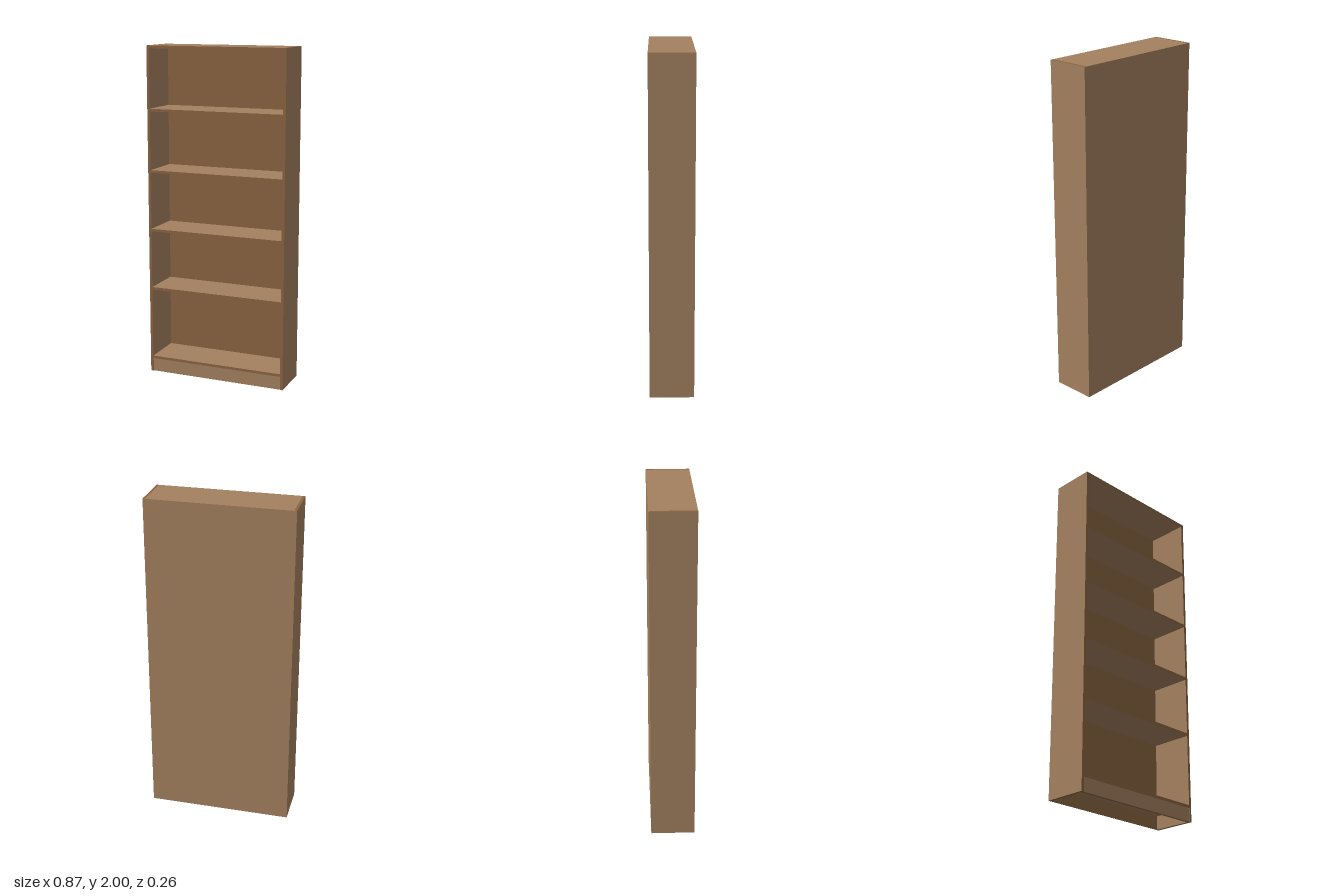
import * as THREE from 'three';

const W = 0.866, H = 2, D = 0.26, T = 0.016, BACK = 0.005;
const INNER = W - 2 * T;

export function createModel() {
  const group = new THREE.Group();
  group.name = 'bookcase';
  const light = new THREE.MeshStandardMaterial({ color: 0xa4815f });
  const dark = new THREE.MeshStandardMaterial({ color: 0x8a6440 });

  // Box given by its size and lower centre; faces listed in darkFaces
  // (0 +x, 1 -x, 2 +y, 3 -y, 4 +z, 5 -z) get the darker wood
  function panel(name, w, h, d, x, y, z, darkFaces) {
    const materials = [0, 1, 2, 3, 4, 5].map(i => darkFaces.includes(i) ? dark : light);
    const mesh = new THREE.Mesh(new THREE.BoxGeometry(w, h, d), materials);
    mesh.name = name;
    mesh.position.set(x, y + h / 2, z);
    group.add(mesh);
  }

  // Side walls, with dark cut edges at the top, bottom and front
  const depth = D - BACK;
  for (const s of [1, -1]) {
    panel(s > 0 ? 'leftSide' : 'rightSide', T, H, depth, s * (W - T) / 2, 0, BACK / 2, [2, 3, 4]);
  }

  // Back panel: dark inside, light outside
  panel('backPanel', W, H, BACK, 0, 0, -D / 2 + BACK / 2, [3, 4]);

  // Top board, four shelves and the bottom board, with dark front edges
  panel('topBoard', INNER, T, depth, 0, H - T, BACK / 2, [4]);
  [1.615, 1.248, 0.889, 0.524].forEach((y, i) =>
    panel('shelf' + (i + 1), INNER, T, depth, 0, y, BACK / 2, [4]));
  panel('bottomBoard', INNER, T, depth, 0, 0.082, BACK / 2, [4]);

  // Plinth board, set back slightly from the front
  panel('plinth', INNER, 0.082, T, 0, 0, D / 2 - T / 2 - 0.004, [3]);

  return group;
}
